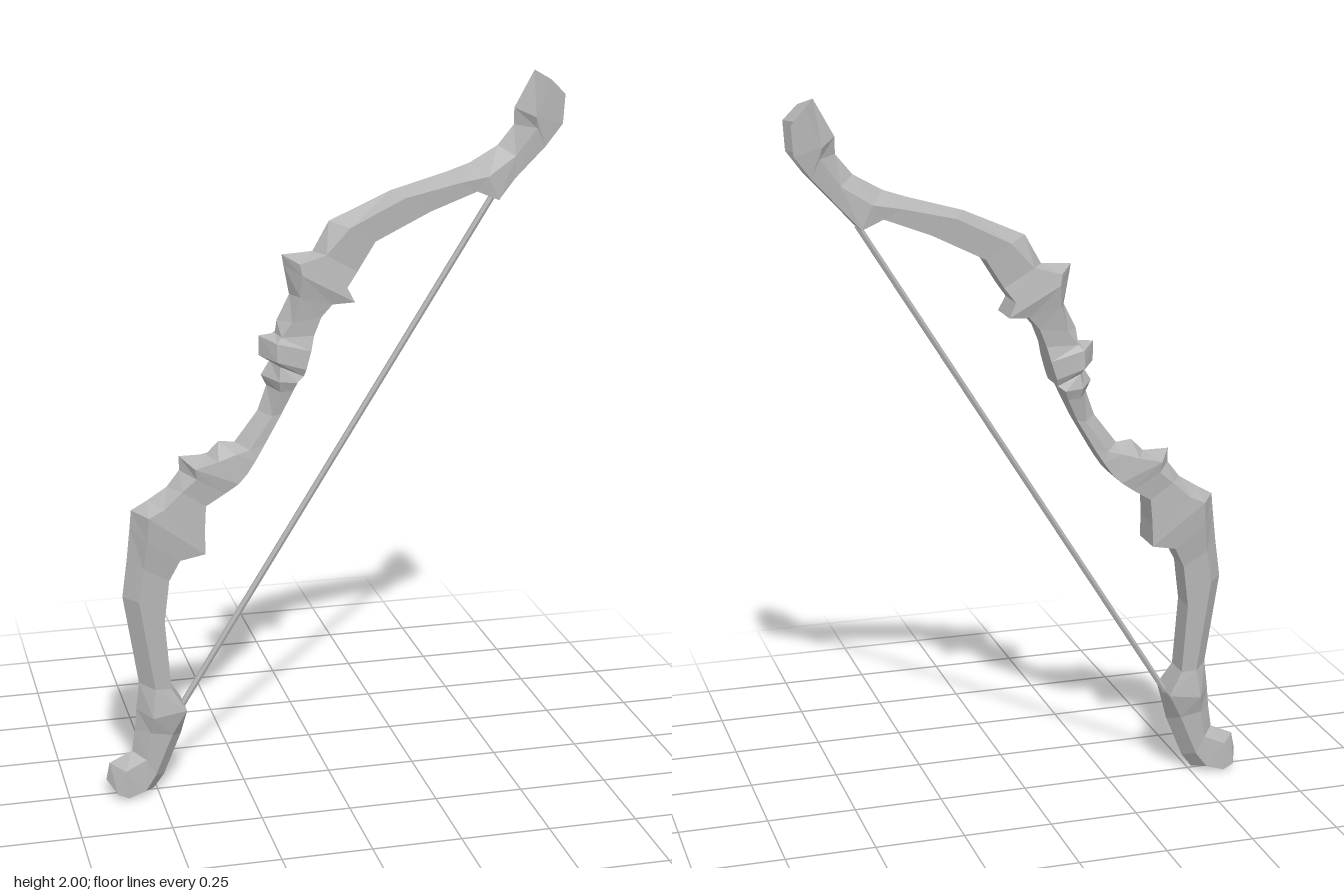
import * as THREE from 'three';

// Limb stations from upper tip to lower tip:
// outer ridge x,y | bevel edge x,y | inner edge x,y | half width
const UPPER = [
  [0.57, 2.0, 0.60, 1.98, 0.64, 1.94, 0.055],
  [0.515, 1.90, 0.56, 1.88, 0.635, 1.86, 0.055],
  [0.515, 1.855, 0.565, 1.85, 0.59, 1.80, 0.05],
  [0.47, 1.80, 0.51, 1.775, 0.51, 1.715, 0.04],
  [0.39, 1.755, 0.43, 1.725, 0.46, 1.66, 0.055],
  [0.33, 1.735, 0.35, 1.71, 0.40, 1.685, 0.05],
  [0.17, 1.69, 0.20, 1.675, 0.27, 1.635, 0.045],
  [0.0, 1.615, 0.05, 1.60, 0.12, 1.56, 0.04],
  [-0.045, 1.535, -0.015, 1.53, 0.07, 1.48, 0.04],
  [-0.13, 1.53, -0.09, 1.51, 0.04, 1.44, 0.05],
  [-0.125, 1.50, -0.085, 1.48, 0.06, 1.40, 0.055],
  [-0.11, 1.42, -0.09, 1.42, 0.0, 1.395, 0.045],
];
const GRIP = [
  [-0.145, 1.35, -0.11, 1.35, -0.03, 1.36, 0.04],
  [-0.15, 1.315, -0.14, 1.31, -0.05, 1.31, 0.04],
  [-0.195, 1.31, -0.155, 1.295, -0.06, 1.27, 0.05],
  [-0.195, 1.255, -0.155, 1.245, -0.075, 1.22, 0.055],
  [-0.165, 1.24, -0.145, 1.23, -0.08, 1.20, 0.045],
  [-0.19, 1.20, -0.15, 1.19, -0.10, 1.185, 0.055],
  [-0.175, 1.17, -0.145, 1.16, -0.11, 1.16, 0.045],
  [-0.20, 1.10, -0.165, 1.09, -0.14, 1.095, 0.035],
  [-0.265, 1.015, -0.23, 1.0, -0.19, 1.01, 0.04],
  [-0.31, 1.02, -0.27, 0.99, -0.215, 0.97, 0.045],
  [-0.345, 0.985, -0.32, 0.975, -0.24, 0.935, 0.05],
  [-0.42, 0.985, -0.385, 0.96, -0.265, 0.91, 0.055],
  [-0.42, 0.945, -0.38, 0.93, -0.30, 0.885, 0.05],
];
const LOWER = [
  [-0.455, 0.90, -0.42, 0.895, -0.355, 0.85, 0.045],
  [-0.51, 0.865, -0.47, 0.85, -0.36, 0.78, 0.05],
  [-0.555, 0.84, -0.515, 0.83, -0.36, 0.715, 0.055],
  [-0.56, 0.79, -0.52, 0.76, -0.43, 0.70, 0.05],
  [-0.57, 0.70, -0.53, 0.68, -0.46, 0.64, 0.04],
  [-0.585, 0.59, -0.545, 0.585, -0.475, 0.52, 0.04],
  [-0.545, 0.33, -0.505, 0.32, -0.46, 0.32, 0.04],
  [-0.555, 0.25, -0.515, 0.24, -0.42, 0.255, 0.055],
  [-0.56, 0.19, -0.52, 0.19, -0.46, 0.18, 0.04],
  [-0.57, 0.125, -0.535, 0.11, -0.51, 0.06, 0.04],
  [-0.635, 0.095, -0.595, 0.085, -0.54, 0.02, 0.05],
  [-0.645, 0.045, -0.62, 0.02, -0.59, 0.005, 0.055],
];

// Six-point ring: ridge, front bevel, front inner, inner middle, back inner, back bevel
function ring([ox, oy, bx, by, ix, iy, w]) {
  // the inner face is grooved at the upper tip and keeled at the lower tip
  const shift = iy > 1.82 ? -0.03 : iy < 0.2 ? 0.03 : 0;
  const drop = iy < 0.2 ? -Math.min(0.015, iy) : 0;
  return [
    [ox, oy, 0], [bx, by, w], [ix, iy, w],
    [ix + shift, iy + drop, 0],
    [ix, iy, -w], [bx, by, -w],
  ];
}

// Skin consecutive rings, optionally closing either end
function loft(stations, capStart, capEnd) {
  const rings = stations.map(ring);
  const pos = [];
  const tri = (a, b, c) => pos.push(...a, ...b, ...c);
  for (let i = 0; i < rings.length - 1; i++) {
    const p = rings[i], q = rings[i + 1];
    for (let k = 0; k < 6; k++) {
      const n = (k + 1) % 6;
      // mirror the diagonals front to back
      if (k < 3) {
        tri(p[k], q[k], q[n]);
        tri(p[k], q[n], p[n]);
      } else {
        tri(p[k], q[k], p[n]);
        tri(q[k], q[n], p[n]);
      }
    }
  }
  const first = rings[0], last = rings[rings.length - 1];
  for (let k = 1; k < 5; k++) {
    if (capStart) tri(first[0], first[k], first[k + 1]);
    if (capEnd) tri(last[0], last[k + 1], last[k]);
  }
  const geo = new THREE.BufferGeometry();
  geo.setAttribute('position', new THREE.Float32BufferAttribute(pos, 3));
  geo.computeVertexNormals();
  return geo;
}

export function createModel() {
  const group = new THREE.Group();
  group.name = 'bow';
  const grey = new THREE.MeshStandardMaterial({ color: 0xb4b4b4, flatShading: true, side: THREE.DoubleSide });
  grey.name = 'plain grey';

  const add = (name, geometry) => {
    const mesh = new THREE.Mesh(geometry, grey);
    mesh.name = name;
    group.add(mesh);
    return mesh;
  };

  // Carved body; neighbouring parts share their end ring
  add('upperLimb', loft([...UPPER, GRIP[0]], true, false));
  add('grip', loft([...GRIP, LOWER[0]], false, false));
  add('lowerLimb', loft(LOWER, false, true));

  // Straight string between the two nocks
  const top = new THREE.Vector3(0.46, 1.665, 0);
  const bottom = new THREE.Vector3(-0.425, 0.25, 0);
  const dir = top.clone().sub(bottom);
  const string = add('bowString', new THREE.CylinderGeometry(0.009, 0.009, dir.length(), 6));
  string.position.copy(top).add(bottom).multiplyScalar(0.5);
  string.quaternion.setFromUnitVectors(new THREE.Vector3(0, 1, 0), dir.normalize());

  return group;
}
